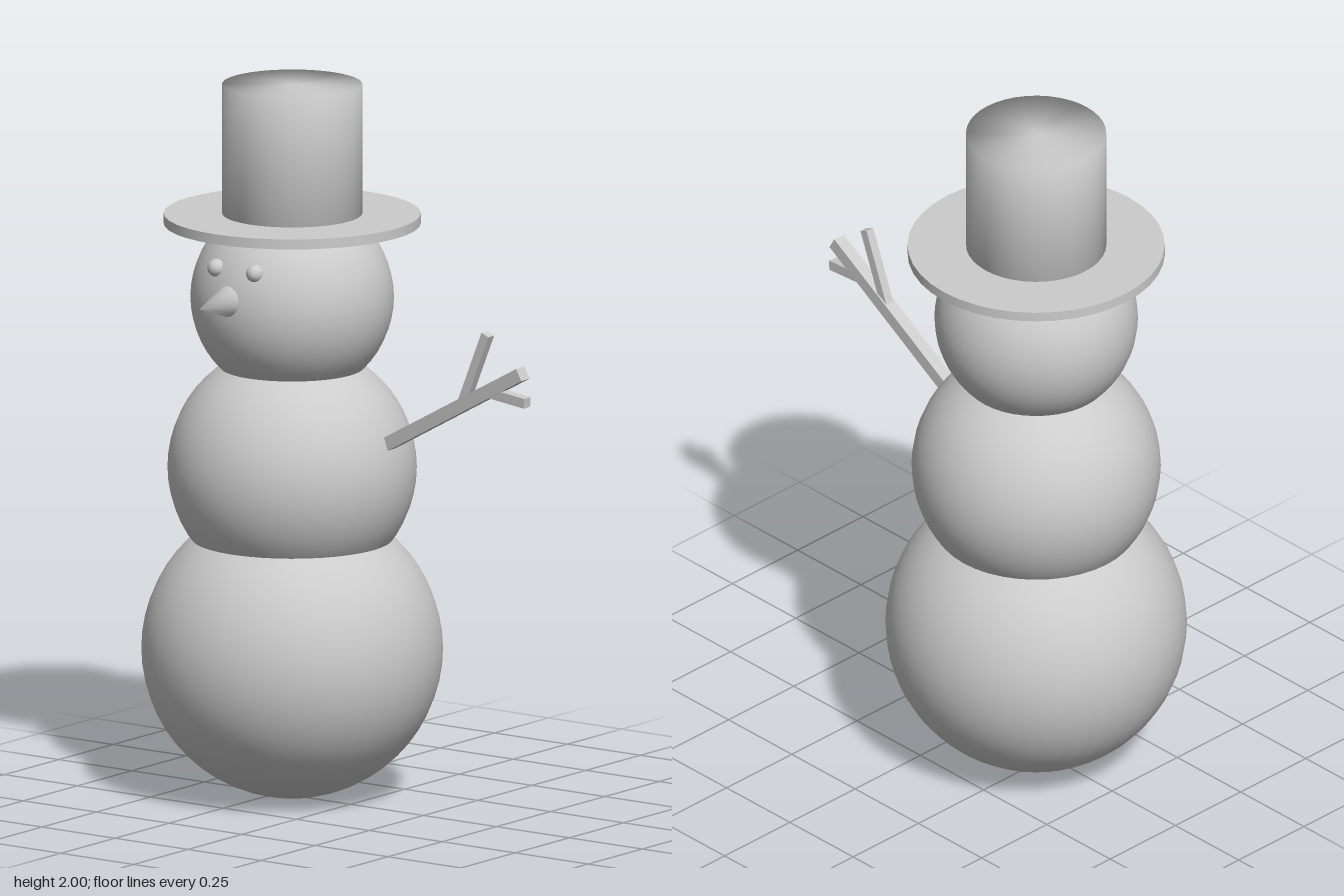
import * as THREE from 'three';
import { mergeVertices } from 'three/addons/utils/BufferGeometryUtils.js';

const material = new THREE.MeshStandardMaterial({ color: 0xcccccc });
const CX = -0.2; // axis of the body
const UP = new THREE.Vector3(0, 1, 0);

// Share vertices across hard edges so the shading runs smoothly over them
function soften(geometry) {
  geometry.deleteAttribute('uv');
  geometry.deleteAttribute('normal');
  const merged = mergeVertices(geometry);
  merged.computeVertexNormals();
  return merged;
}

function add(parent, name, geometry, x, y, z) {
  const mesh = new THREE.Mesh(geometry, material);
  mesh.name = name;
  mesh.position.set(x, y, z);
  parent.add(mesh);
  return mesh;
}

// Square stick running between two points
function stick(parent, name, from, to, width) {
  const a = new THREE.Vector3(...from);
  const b = new THREE.Vector3(...to);
  const mid = a.clone().add(b).multiplyScalar(0.5);
  const mesh = add(parent, name, new THREE.BoxGeometry(width, a.distanceTo(b), width), mid.x, mid.y, mid.z);
  mesh.quaternion.setFromUnitVectors(UP, b.sub(a).normalize());
}

export function createModel() {
  const model = new THREE.Group();
  model.name = 'snowman';

  // Three stacked snowballs
  const balls = [['base', 0.415, 0.415], ['torso', 0.343, 0.925], ['head', 0.28, 1.403]];
  for (const [name, radius, y] of balls) {
    add(model, name, new THREE.SphereGeometry(radius, 40, 28), CX, y, 0);
  }

  // Top hat
  const hat = new THREE.Group();
  hat.name = 'hat';
  add(hat, 'brim', new THREE.CylinderGeometry(0.354, 0.354, 0.028, 40), CX, 1.623, 0);
  add(hat, 'crown', soften(new THREE.CylinderGeometry(0.193, 0.193, 0.37, 40)), CX, 1.815, 0);
  model.add(hat);

  // Eyes
  for (const [name, x] of [['rightEye', -0.278], ['leftEye', -0.145]]) {
    add(model, name, new THREE.SphereGeometry(0.025, 16, 12), x, 1.515, 0.245);
  }

  // Nose, turned slightly to one side
  const nose = add(model, 'nose', soften(new THREE.ConeGeometry(0.047, 0.135, 24)), -0.222, 1.43, 0.328);
  nose.quaternion.setFromUnitVectors(UP, new THREE.Vector3(-0.04, 0, 1).normalize());

  // Twig arm with two side shoots
  const arm = new THREE.Group();
  arm.name = 'leftArm';
  stick(arm, 'branch', [0.123, 1.028, -0.012], [0.598, 1.287, 0.01], 0.037);
  stick(arm, 'upperTwig', [0.385, 1.17, 0], [0.474, 1.382, 0.005], 0.026);
  stick(arm, 'lowerTwig', [0.47, 1.222, 0.004], [0.613, 1.207, 0.01], 0.028);
  model.add(arm);

  return model;
}
